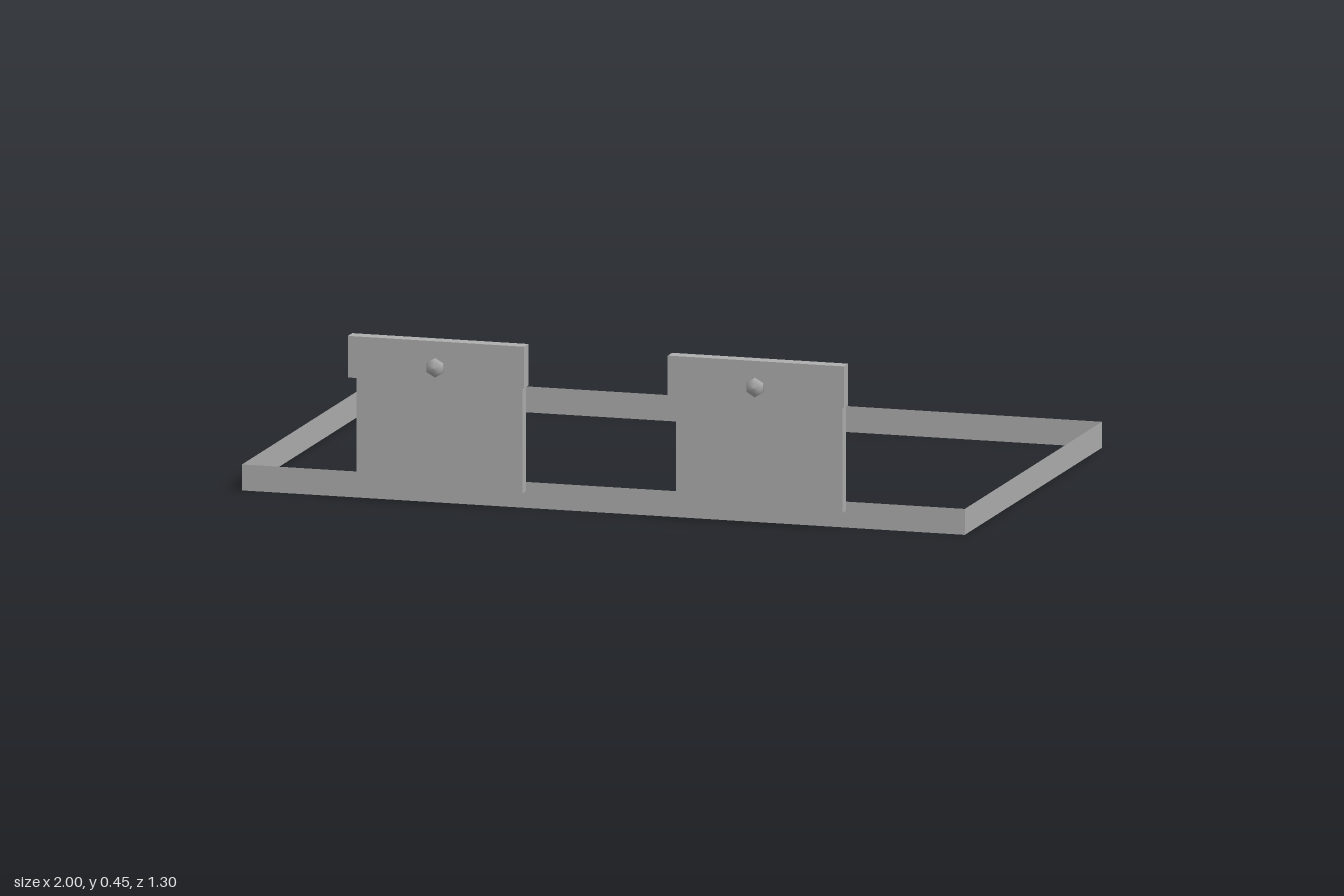
import * as THREE from 'three';

const grey = new THREE.MeshStandardMaterial({ color: 0xb0b0b0, side: THREE.DoubleSide });
grey.name = 'grey metal';

function add(parent, name, geometry, x, y, z) {
  const mesh = new THREE.Mesh(geometry, grey);
  mesh.name = name;
  mesh.position.set(x, y, z);
  parent.add(mesh);
  return mesh;
}

export function createModel() {
  const model = new THREE.Group();
  model.name = 'hangingFrame';

  // Thin upright band running round an open rectangle
  const height = 0.07, front = 0.57, back = -0.65;
  const depth = front - back, midZ = (front + back) / 2;
  const band = new THREE.Group();
  band.name = 'frameBand';
  model.add(band);
  add(band, 'frontBand', new THREE.PlaneGeometry(2, height), 0, height / 2, front);
  add(band, 'backBand', new THREE.PlaneGeometry(2, height), 0, height / 2, back).rotation.y = Math.PI;
  for (const s of [-1, 1]) {
    add(band, s > 0 ? 'leftBand' : 'rightBand', new THREE.PlaneGeometry(depth, height), s, height / 2, midZ)
      .rotation.y = s * Math.PI / 2;
  }

  // Six-sided flattened knob, domed towards +z
  const knobProfile = [[0, 0], [0.017, 0], [0.026, 0.006], [0.026, 0.01], [0.017, 0.018], [0, 0.021]]
    .map(([r, h]) => new THREE.Vector2(r, h));
  const knob = new THREE.LatheGeometry(knobProfile, 6).rotateX(Math.PI / 2);

  // Two mounting plates, each with a clamp bar and a knob
  for (const x of [-0.444, 0.441]) {
    const bracket = new THREE.Group();
    bracket.name = x > 0 ? 'leftBracket' : 'rightBracket';
    bracket.position.x = x;
    model.add(bracket);
    add(bracket, 'plate', new THREE.BoxGeometry(0.46, 0.345, 0.03), 0, 0.2175, 0.585);
    add(bracket, 'clampBar', new THREE.BoxGeometry(0.487, 0.112, 0.039), 0, 0.391, 0.6125);
    add(bracket, 'knob', knob, 0, 0.377, 0.631);
  }
  return model;
}
